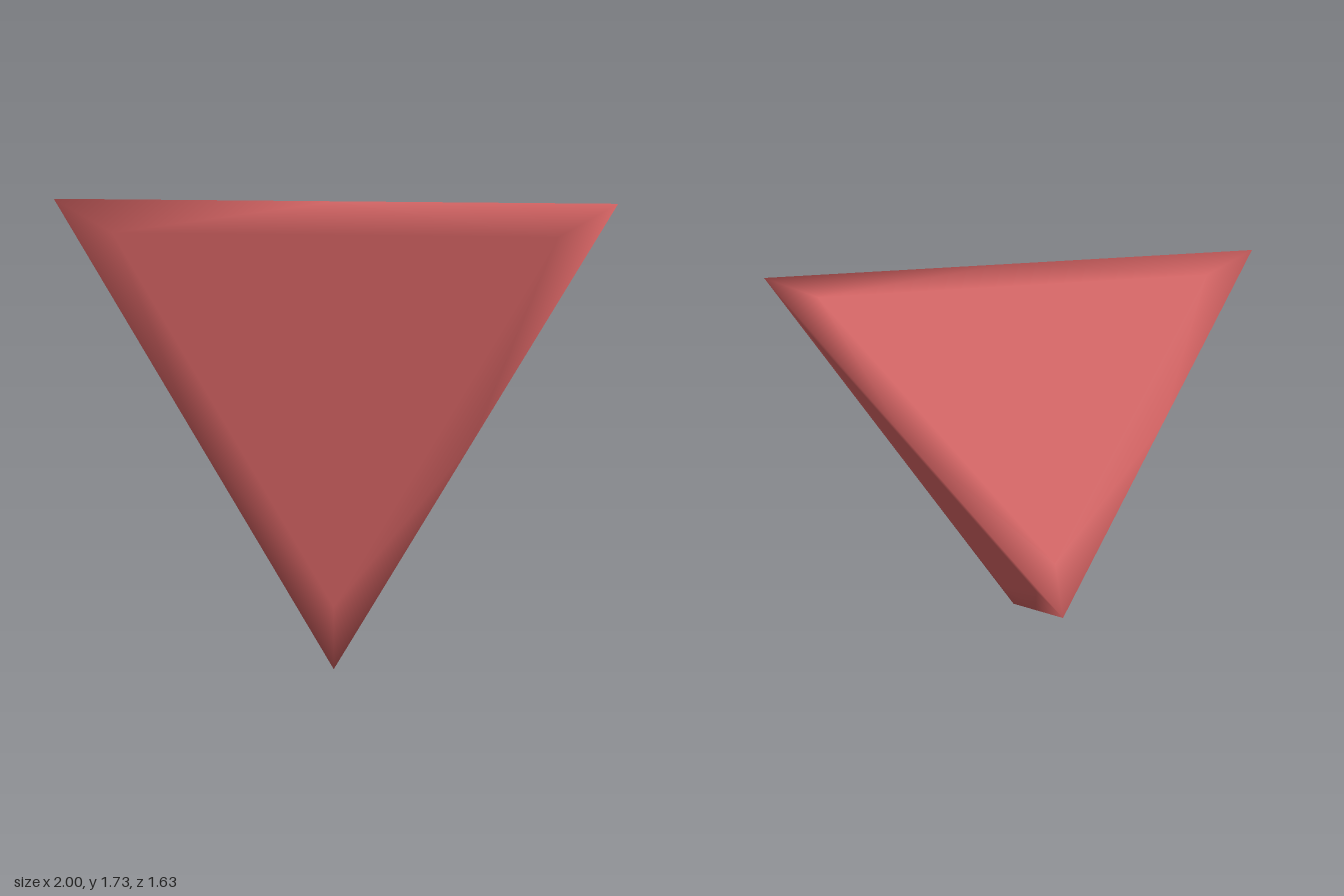
import * as THREE from 'three';
import { mergeVertices } from 'three/addons/utils/BufferGeometryUtils.js';

const EDGE = 2; // edge length of the regular tetrahedron
const INSET = 0.12; // width of the softly shaded border on each face

function createDieGeometry() {
  const faceHeight = EDGE * Math.sqrt(3) / 2;
  const depth = EDGE * Math.sqrt(2 / 3);
  const corners = [
    new THREE.Vector3(-EDGE / 2, faceHeight, depth / 2),
    new THREE.Vector3(EDGE / 2, faceHeight, depth / 2),
    new THREE.Vector3(0, 0, depth / 2),
    new THREE.Vector3(0, faceHeight * 2 / 3, -depth / 2),
  ];
  const centre = new THREE.Vector3();
  corners.forEach((c) => centre.addScaledVector(c, 1 / 4));

  // Corner normals point away from the centre, so edges shade as if rounded
  const cornerNormals = corners.map((c) => c.clone().sub(centre).normalize());
  const inwards = INSET / (EDGE / (2 * Math.sqrt(3)));

  const positions = [];
  const normals = [];
  const triangle = (...points) => points.forEach(({ p, n }) => {
    positions.push(p.x, p.y, p.z);
    normals.push(n.x, n.y, n.z);
  });

  // Corner order is counter-clockwise seen from outside
  for (const face of [[0, 2, 1], [0, 1, 3], [1, 2, 3], [2, 0, 3]]) {
    const faceCentre = new THREE.Vector3();
    face.forEach((i) => faceCentre.addScaledVector(corners[i], 1 / 3));
    const flat = faceCentre.clone().sub(centre).normalize();
    const outer = face.map((i) => ({ p: corners[i], n: cornerNormals[i] }));
    const inner = face.map((i) => ({ p: corners[i].clone().lerp(faceCentre, inwards), n: flat }));

    // Flat middle of the face
    triangle(...inner);
    // Border along each edge, split evenly at its midpoint
    for (let i = 0; i < 3; i++) {
      const j = (i + 1) % 3;
      const middle = {
        p: outer[i].p.clone().lerp(outer[j].p, 0.5),
        n: outer[i].n.clone().add(outer[j].n).normalize(),
      };
      triangle(outer[i], middle, inner[i]);
      triangle(middle, inner[j], inner[i]);
      triangle(middle, outer[j], inner[j]);
    }
  }

  const geometry = new THREE.BufferGeometry();
  geometry.setAttribute('position', new THREE.Float32BufferAttribute(positions, 3));
  geometry.setAttribute('normal', new THREE.Float32BufferAttribute(normals, 3));
  return mergeVertices(geometry);
}

export function createModel() {
  const group = new THREE.Group();
  group.name = 'fourSidedDie';

  // Solid body standing on one corner, one face to the front
  const body = new THREE.Mesh(
    createDieGeometry(),
    new THREE.MeshStandardMaterial({ color: 0xcf6060 }),
  );
  body.name = 'dieBody';
  group.add(body);
  return group;
}
